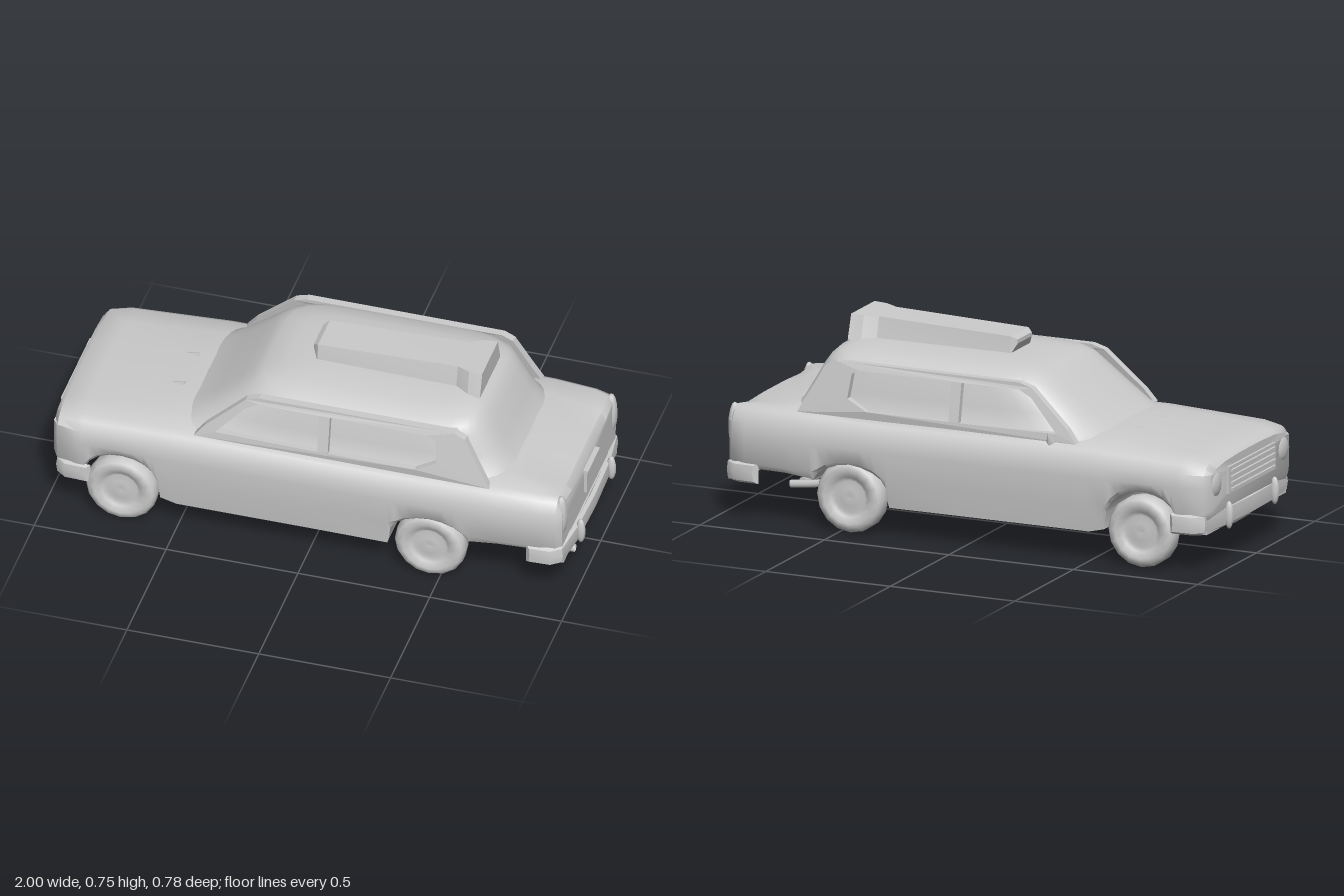
import * as THREE from 'three';
import { toCreasedNormals } from 'three/addons/utils/BufferGeometryUtils.js';

const material = new THREE.MeshStandardMaterial({ color: 0xcccccc, side: THREE.DoubleSide });

// Closed skin through rings of [x, y, z] points, capped at both ends
function loft(rings, crease = 0.7) {
  const n = rings[0].length, pos = rings.flat(2), idx = [];
  for (let i = 0; i < rings.length - 1; i++) {
    for (let j = 0; j < n; j++) {
      const a = i * n + j, c = i * n + (j + 1) % n, b = a + n, d = c + n;
      idx.push(a, b, c, c, b, d);
    }
  }
  [rings[0], rings[rings.length - 1]].forEach((ring, end) => {
    const centre = pos.length / 3, base = end ? (rings.length - 1) * n : 0;
    for (let k = 0; k < 3; k++) pos.push(ring.reduce((s, p) => s + p[k], 0) / n);
    for (let j = 0; j < n; j++) {
      const p = base + j, q = base + (j + 1) % n;
      idx.push(centre, end ? q : p, end ? p : q);
    }
  });
  const g = new THREE.BufferGeometry();
  g.setAttribute('position', new THREE.Float32BufferAttribute(pos, 3));
  g.setIndex(idx);
  return toCreasedNormals(g, crease);
}

export function createModel() {
  const car = new THREE.Group();
  car.name = 'saloonCar';
  const add = (name, geo, x = 0, y = 0, z = 0, parent = car) => {
    const m = new THREE.Mesh(geo, material);
    m.name = name;
    m.position.set(x, y, z);
    parent.add(m);
    return m;
  };
  const box = (name, w, h, d, x, y, z) => add(name, new THREE.BoxGeometry(w, h, d), x, y, z);
  const tube = (name, pts, r, sides = 6) => add(name, new THREE.TubeGeometry(
    new THREE.CatmullRomCurve3(pts.map(p => new THREE.Vector3(...p))), 14, r, sides));

  // Lower body: [x, bottom, shoulder height, centre height, half width]
  const keys = [
    [-0.975, 0.22, 0.385, 0.4, 0.335], [-0.955, 0.19, 0.405, 0.415, 0.36], [-0.88, 0.19, 0.415, 0.425, 0.378],
    [-0.5, 0.115, 0.43, 0.455, 0.388], [0, 0.115, 0.43, 0.455, 0.388], [0.3, 0.115, 0.43, 0.455, 0.39],
    [0.62, 0.19, 0.435, 0.455, 0.39], [0.72, 0.2, 0.435, 0.45, 0.388], [0.88, 0.2, 0.43, 0.425, 0.378],
    [0.935, 0.2, 0.425, 0.415, 0.365], [0.955, 0.2, 0.4, 0.39, 0.345]];
  const sample = x => {
    let i = 0;
    while (i < keys.length - 2 && x > keys[i + 1][0]) i++;
    const t = (x - keys[i][0]) / (keys[i + 1][0] - keys[i][0]);
    return keys[i].map((v, k) => v + (keys[i + 1][k] - v) * t);
  };
  // Wheel arches lift the bottom edge
  const arches = [[-0.71, 0.148, 0.285], [0.46, 0.155, 0.255]];
  const stations = keys.map(k => sample(k[0]));
  arches.forEach(([cx, r, top]) => {
    for (let i = 0; i <= 10; i++) {
      const a = Math.PI * (1 - i / 10), s = sample(cx + r * Math.cos(a));
      s[1] = 0.13 + (top - 0.13) * Math.sin(a) ** 0.7;
      if (i === 0 || i === 10) s[1] = s[0] < -0.8 || s[0] > 0.6 ? 0.19 : 0.13;
      stations.push(s);
    }
  });
  stations.sort((a, b) => a[0] - b[0]);
  add('lowerBody', loft(stations.map(([x, bot, sh, top, hw]) => {
    const half = [[bot, 0.95], [Math.max(bot + 0.015, 0.22), 0.985], [0.32, 1], [0.37, 0.99],
      [sh - 0.015, 0.93], [sh, 0.86], [top - 0.005, 0.62], [top, 0.25]];
    return [...half.map(([y, f]) => [x, y, f * hw]), ...half.reverse().map(([y, f]) => [x, y, -f * hw])];
  })));

  // Cabin: [height, front x, rear x, half width]
  const levels = [
    [0.42, -0.56, 0.76, 0.36], [0.455, -0.49, 0.725, 0.335], [0.52, -0.405, 0.685, 0.322],
    [0.59, -0.315, 0.645, 0.308], [0.625, -0.27, 0.62, 0.298], [0.645, -0.235, 0.6, 0.265],
    [0.66, -0.16, 0.57, 0.2], [0.668, -0.06, 0.54, 0.12]];
  const sp = (v, e) => Math.sign(v) * Math.abs(v) ** e;
  add('cabin', loft(levels.map(([y, f, r, hw]) => Array.from({ length: 40 }, (_, i) => {
    const a = i / 40 * Math.PI * 2;
    return [(f + r) / 2 + (r - f) / 2 * sp(Math.cos(a), 0.38), y, hw * sp(Math.sin(a), 0.38)];
  })), 0.6));

  // Leaning side frames leave the windows recessed
  const poly = pts => pts.map(p => new THREE.Vector2(...p));
  const frame = new THREE.Shape(poly([[-0.44, 0.43], [-0.4, 0.48], [-0.25, 0.615], [-0.2, 0.63],
    [0.54, 0.63], [0.58, 0.61], [0.64, 0.5], [0.68, 0.43]]));
  frame.holes.push(
    new THREE.Path(poly([[-0.36, 0.46], [0.03, 0.46], [0.03, 0.605], [-0.2, 0.605], [-0.25, 0.58]])),
    new THREE.Path(poly([[0.07, 0.46], [0.4, 0.46], [0.48, 0.5], [0.47, 0.59], [0.44, 0.605], [0.07, 0.605]])));
  for (const s of [1, -1]) {
    const g = new THREE.ExtrudeGeometry(frame, { depth: 0.03, bevelEnabled: false });
    const p = g.attributes.position;
    for (let i = 0; i < p.count; i++) {
      const x = p.getX(i), y = p.getY(i);
      const taper = 0.02 * Math.max(0, Math.abs(x - 0.14) / 0.5 - 0.6);
      p.setZ(i, p.getZ(i) + 0.328 - (y - 0.45) * 0.19 - taper);
    }
    if (s < 0) g.rotateY(Math.PI).scale(-1, 1, 1);
    if (s < 0) { // restore facing after the mirror
      for (let i = 0; i < p.count; i += 3) {
        const v = [0, 1, 2].map(k => [p.getX(i + k), p.getY(i + k), p.getZ(i + k)]);
        p.setXYZ(i + 1, ...v[2]);
        p.setXYZ(i + 2, ...v[1]);
      }
    }
    g.computeVertexNormals();
    add('windowFrame', g);
  }

  // Tapered roof box, wide lip at the rear
  add('roofBox', loft([[-0.07, 0.715, 0.7, 0.06, 0.06], [-0.05, 0.728, 0.66, 0.075, 0.085],
    [0.48, 0.745, 0.66, 0.075, 0.095], [0.53, 0.748, 0.657, 0.098, 0.125], [0.58, 0.75, 0.66, 0.1, 0.13]]
    .map(([x, t, b, wt, wb]) => [[x, b, wb], [x, t, wt], [x, t, -wt], [x, b, -wb]]), 0.3));

  // Wheels: rounded tyre with a dished hub
  const tyre = [[0.0, 0.026], [0.035, 0.03], [0.06, 0.02], [0.075, 0.03], [0.1, 0.042], [0.122, 0.036], [0.134, 0.02],
    [0.134, -0.02], [0.122, -0.036], [0.09, -0.04], [0.06, -0.02], [0, -0.02]].map(p => new THREE.Vector2(...p)).reverse();
  for (const [x, name] of [[-0.71, 'frontWheel'], [0.46, 'rearWheel']]) {
    for (const s of [1, -1]) {
      const w = add(name, new THREE.LatheGeometry(tyre, 16), x, 0.137, s * 0.342);
      w.rotation.x = s * Math.PI / 2;
    }
    tube(name + 'Axle', [[x, 0.14, -0.32], [x, 0.14, 0], [x, 0.14, 0.32]], 0.016);
    box(name + 'Subframe', 0.07, 0.1, 0.3, x, 0.21, 0);
  }

  // Bumpers wrapping round the corners, with overriders
  for (const e of [1, -1]) {
    const side = e > 0 ? 'rear' : 'front', y = 0.185;
    const path = [[0.84, -0.383], [0.92, -0.38], [0.957, -0.352], [0.975, -0.2], [0.98, 0],
      [0.975, 0.2], [0.957, 0.352], [0.92, 0.38], [0.84, 0.383]];
    const rings = path.map(([x, z]) => {
      const wrap = Math.min(1, Math.max(0, (0.975 - x) / 0.055)), iz = Math.sign(z) * 0.014 * wrap;
      return [[x - 0.014, y - 0.04, z - iz], [x, y - 0.03, z], [x + 0.004, y, z + iz * 0.2],
        [x, y + 0.03, z], [x - 0.014, y + 0.037, z - iz]].map(p => [p[0] * e, p[1], p[2]]);
    });
    add(side + 'Bumper', loft(e > 0 ? rings.reverse() : rings));
    box(side + 'Valance', 0.05, 0.07, 0.68, e * 0.935, 0.18, 0);
    for (const z of [-0.195, 0.195]) {
      const o = add(side + 'Overrider', new THREE.SphereGeometry(1, 8, 8), e * 0.982, 0.19, z);
      o.scale.set(0.018, 0.052, 0.015);
    }
  }

  for (const s of [1, -1]) {
    // Lamps
    const head = add('headlamp', new THREE.SphereGeometry(0.055, 12, 8), -0.96, 0.325, s * 0.285);
    head.scale.x = 0.45;
    const tail = add('tailLamp', new THREE.SphereGeometry(1, 8, 8), 0.945, 0.345, s * 0.318);
    tail.scale.set(0.024, 0.085, 0.028);
    // Bonnet vents and underside rails
    const vent = add('bonnetVent', new THREE.ConeGeometry(0.05, 0.1, 4), -0.6, 0.44, s * 0.09);
    vent.rotation.z = Math.PI / 2;
    vent.scale.set(0.3, 1, 0.8);
    tube('chassisRail', [[0.3, 0.14, s * 0.17], [0.46, 0.19, s * 0.18], [0.66, 0.125, s * 0.185], [0.78, 0.11, s * 0.19]], 0.015);
  }

  // Grille, rear plate and boot handle
  box('grilleSurround', 0.016, 0.1, 0.4, -0.976, 0.32, 0);
  for (let i = 0; i < 4; i++) box('grilleBar', 0.012, 0.008, 0.37, -0.987, 0.285 + i * 0.023, 0);
  box('rearPlate', 0.02, 0.095, 0.13, 0.957, 0.312, 0);
  box('plateHood', 0.035, 0.012, 0.15, 0.957, 0.364, 0);

  // Exhaust and silencer
  tube('exhaustPipe', [[0.6, 0.13, 0.17], [0.7, 0.11, 0.18], [0.85, 0.105, 0.19], [0.96, 0.1, 0.19]], 0.015);
  const silencer = add('silencer', new THREE.CylinderGeometry(0.018, 0.018, 0.3, 8), 0.75, 0.11, 0);
  silencer.rotation.x = Math.PI / 2;

  // Door mirror
  const mirror = add('doorMirror', new THREE.ConeGeometry(0.018, 0.05, 4), -0.34, 0.45, -0.365);
  mirror.rotation.x = -0.5;
  return car;
}
